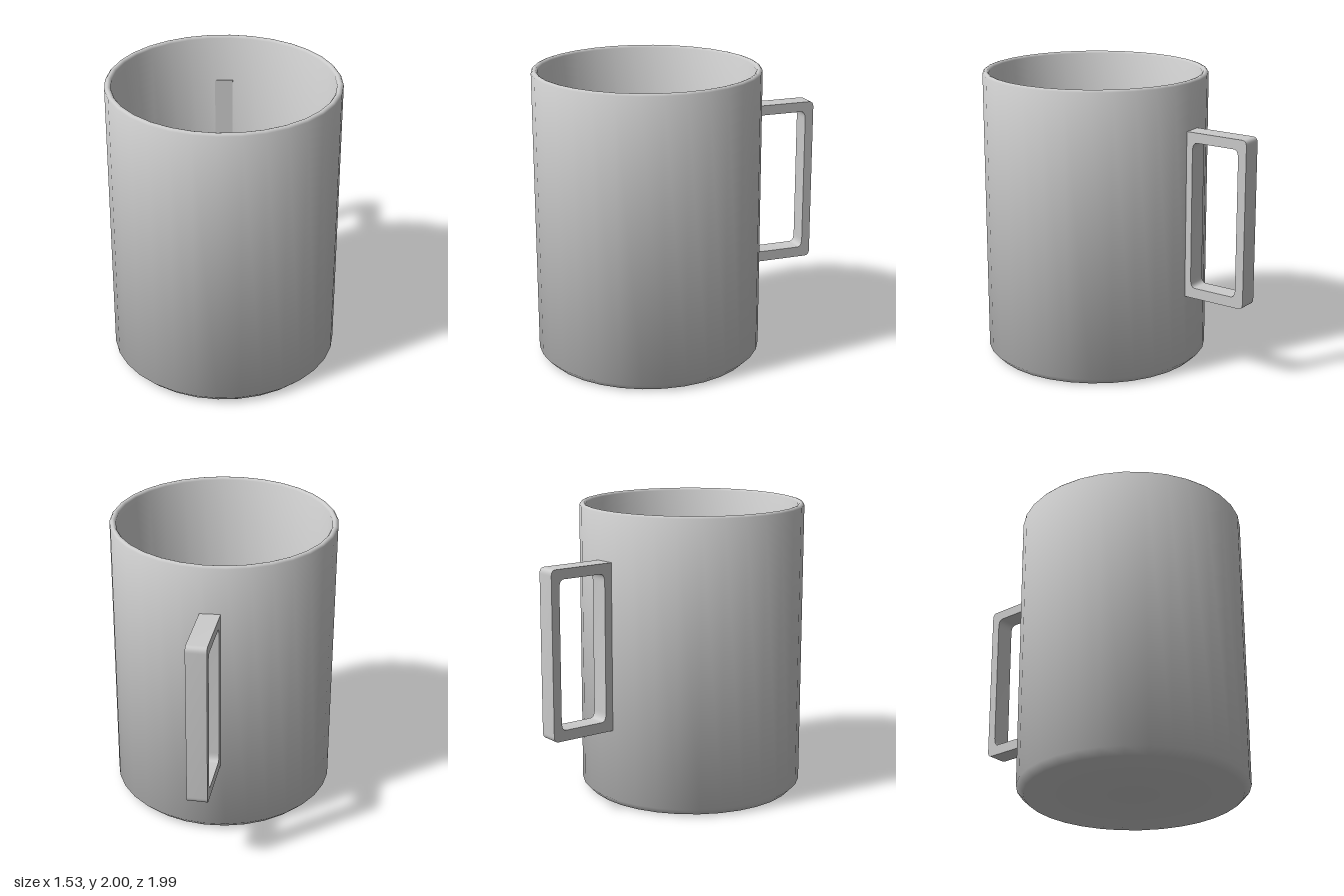
import * as THREE from 'three';
import { toCreasedNormals } from 'three/addons/utils/BufferGeometryUtils.js';

const material = new THREE.MeshStandardMaterial({ color: 0xcccccc });

// Rectangle with rounded corners; ra rounds the x0 side, rb the x1 side
function roundedRect(path, x0, y0, x1, y1, ra, rb, ry) {
  path.moveTo(x0 + ra, y0);
  path.lineTo(x1 - rb, y0);
  path.quadraticCurveTo(x1, y0, x1, y0 + ry);
  path.lineTo(x1, y1 - ry);
  path.quadraticCurveTo(x1, y1, x1 - rb, y1);
  path.lineTo(x0 + ra, y1);
  if (ra) path.quadraticCurveTo(x0, y1, x0, y1 - ry);
  path.lineTo(x0, ra ? y0 + ry : y0);
  if (ra) path.quadraticCurveTo(x0, y0, x0 + ra, y0);
  return path;
}

function createBody() {
  // Underside, chamfer, outer wall, rounded rim, inner wall, floor
  const profile = [
    [0, 0], [0.72, 0], [0.767, 0.047], [0.767, 1.985], [0.757, 1.997],
    [0.746, 2], [0.735, 1.997], [0.725, 1.985], [0.725, 0.05], [0, 0.05],
  ].map(([r, y]) => new THREE.Vector2(r, y));
  const body = new THREE.Mesh(toCreasedNormals(new THREE.LatheGeometry(profile, 32), 0.85), material);
  body.name = 'cupBody';
  body.position.z = 0.223;
  return body;
}

function createHandle() {
  // Drawn in side profile (x = distance to the back); the inner bar passes through the wall
  const shape = roundedRect(new THREE.Shape(), 0.492, 0.53, 0.997, 1.67, 0, 0.035, 0.04);
  shape.holes.push(roundedRect(new THREE.Path(), 0.587, 0.602, 0.937, 1.602, 0.035, 0.035, 0.06));
  const geometry = new THREE.ExtrudeGeometry(shape, { depth: 0.137, bevelEnabled: false, curveSegments: 6 });
  geometry.rotateY(Math.PI / 2);
  const handle = new THREE.Mesh(toCreasedNormals(geometry, 0.6), material);
  handle.name = 'handle';
  handle.position.x = -0.116;
  return handle;
}

export function createModel() {
  const mug = new THREE.Group();
  mug.name = 'mug';
  mug.add(createBody(), createHandle());
  return mug;
}
